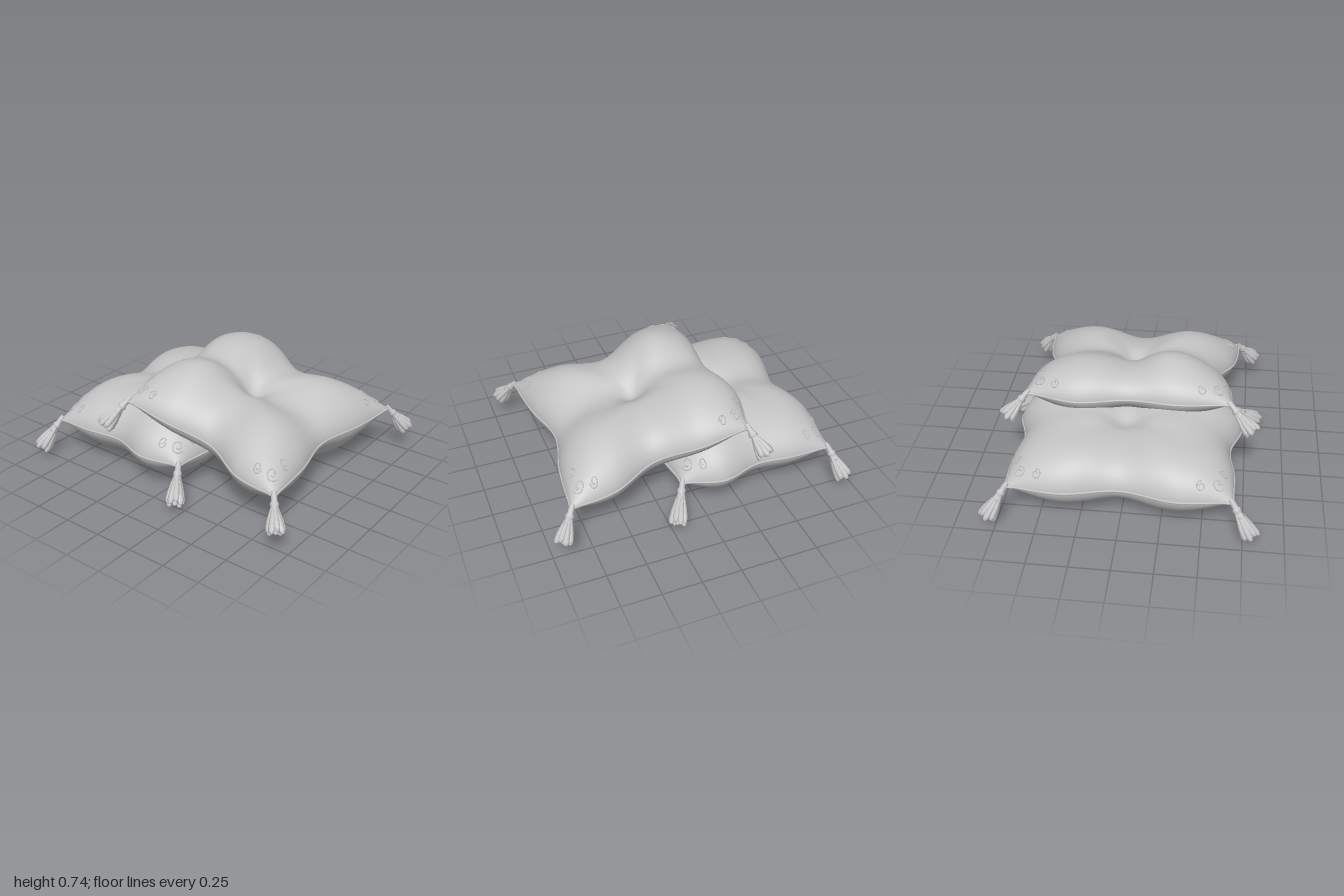
import * as THREE from 'three';

const V = (x, y, z) => new THREE.Vector3(x, y, z);

// Smooth function on [-1, 1] through evenly spaced values
function spline(values) {
  const curve = new THREE.SplineCurve(values.map((y, i) => new THREE.Vector2(i, y)));
  return (t) => curve.getPoint(THREE.MathUtils.clamp((t + 1) / 2, 0, 1)).y;
}

// Each cushion: four seam edges, seam height along x, puffiness [left, right] per face,
// extra lobes [u, v, height, spread], and one tassel tip per side (mirrored front to back)
const CUSHIONS = [
  {
    name: 'lowerCushion',
    west: [-0.87, -0.905, -0.84, -0.905, -0.87], east: [0.13, 0.16, 0.1, 0.16, 0.13],
    back: [-0.69, -0.695, -0.67, -0.735, -0.65], front: [0.68, 0.68, 0.65, 0.72, 0.66],
    seam: [0.245, 0.245, 0.24, 0.235, 0.225],
    top: { puff: [0.23, 0.27], fold: 0, tuft: 0.15, pleat: 0.16, lobes: [] },
    bottom: {
      puff: [0.205, 0.2], fold: 0.02, tuft: 0.15, pleat: 0.05,
      lobes: [[-0.52, -0.58, 0.062, 0.07], [-0.52, 0.58, 0.062, 0.07],
        [0.52, -0.58, 0.062, 0.07], [0.52, 0.58, 0.062, 0.07]],
    },
    tips: [V(-0.945, 0.06, 0.8), V(0.23, 0.07, 0.82)],
  },
  {
    name: 'upperCushion',
    west: [-0.3, -0.37, -0.31, -0.33, -0.29], east: [0.85, 0.82, 0.75, 0.82, 0.85],
    back: [-0.66, -0.65, -0.55, -0.66, -0.69], front: [0.64, 0.62, 0.53, 0.65, 0.68],
    seam: [0.54, 0.47, 0.36, 0.305, 0.295],
    top: {
      puff: [0.215, 0.23], fold: 0.08, tuft: 0.25, pleat: 0.22,
      lobes: [[-0.4, 0.45, 0.068, 0.12], [-0.42, -0.5, 0.035, 0.12],
        [0.6, 0.5, 0.035, 0.1], [0.6, -0.5, 0.035, 0.1]],
    },
    bottom: {
      puff: [0.17, 0.18], fold: 0, tuft: 0.08, pleat: 0.05,
      lobes: [[0.6, 0.46, 0.1, 0.13], [0.6, -0.46, 0.1, 0.13]],
    },
    tips: [V(-0.365, 0.4, 0.78), V(0.94, 0.14, 0.79)],
  },
];

// Returns point(u, v, side): side 1 is the top skin, -1 the underside, 0 the seam sheet
function cushionSurface(c) {
  const [west, east, back, front, seam] = [c.west, c.east, c.back, c.front, c.seam].map(spline);
  const round = (t, power) => Math.pow(Math.max(0, 1 - t ** 4), power);
  const { lerp, smoothstep } = THREE.MathUtils;
  return (u, v, side) => {
    const x = lerp(west(v), east(v), (u + 1) / 2);
    const z = lerp(back(u), front(u), (v + 1) / 2);
    let y = seam(u);
    if (side !== 0) {
      const f = side > 0 ? c.top : c.bottom;
      const r2 = u * u + v * v;
      const valleys = f.fold * Math.exp(-u * u / 0.05) + 0.2 * Math.exp(-v * v / 0.05);
      const tuft = f.tuft * Math.exp(-r2 / 0.03);
      const pleats = f.pleat * Math.cos(7 * Math.atan2(v, u) + 0.6) * r2 * Math.exp(-r2 * 5);
      let height = lerp(f.puff[0], f.puff[1], smoothstep(u, -0.5, 0.5))
        * round(u, 0.6) * round(v, 0.6) * (1 - valleys - tuft + pleats);
      for (const [lu, lv, h, spread] of f.lobes) {
        const d2 = (u - lu) ** 2 + (v - lv) ** 2;
        height += h * Math.exp(-d2 / spread) * round(u, 0.5) * round(v, 0.5);
      }
      y += side * height;
    }
    return V(x, y, z);
  };
}

// Curved sheet with rows packed towards the seam
function skinGeometry(point, side) {
  const geo = new THREE.PlaneGeometry(2, 2, 64, 64);
  const pos = geo.attributes.position;
  const ease = (t) => Math.sin(t * Math.PI / 2);
  for (let i = 0; i < pos.count; i++) {
    const p = point(ease(pos.getX(i)), ease(-pos.getY(i)), side);
    pos.setXYZ(i, p.x, p.y, p.z);
  }
  if (side < 0) geo.index.array.reverse();
  geo.computeVertexNormals();
  return geo;
}

// Piping along the four seam edges
function pipingGeometry(point) {
  const pts = [];
  const n = 20;
  const corners = [[-1, -1], [1, -1], [1, 1], [-1, 1]];
  corners.forEach(([u, v], k) => {
    const [u2, v2] = corners[(k + 1) % 4];
    for (let i = 0; i < n; i++) {
      pts.push(point(u + (u2 - u) * i / n, v + (v2 - v) * i / n, 0));
    }
  });
  return new THREE.TubeGeometry(new THREE.CatmullRomCurve3(pts, true), 240, 0.008, 6, true);
}

// Low embroidery curl that follows the top skin
function curlGeometry(point, u, v, size, turn) {
  const pts = [];
  for (let i = 0; i <= 14; i++) {
    const a = i / 14 * Math.PI * 2.6 * turn, r = size * (1 - 0.7 * i / 14);
    pts.push(point(u + r * Math.cos(a), v + r * Math.sin(a), 1));
  }
  return new THREE.TubeGeometry(new THREE.CatmullRomCurve3(pts), 28, 0.004, 5);
}

const latheProfile = (points) => points.map(([r, y]) => new THREE.Vector2(r, y));

// Tassel hanging along -y from its origin, then aimed at the tip
function makeTassel(start, tip, material) {
  const tassel = new THREE.Group();
  tassel.name = 'tassel';
  const knot = new THREE.Mesh(new THREE.LatheGeometry(latheProfile([[0, -0.12], [0.03, -0.1],
    [0.025, -0.08], [0.02, -0.066], [0.027, -0.054], [0.026, -0.04], [0.018, -0.028],
    [0.018, 0], [0.012, 0.03]]), 14), material);
  knot.name = 'tasselKnot';
  tassel.add(knot);
  const length = start.distanceTo(tip) - 0.06;
  for (let i = 0; i < 9; i++) {
    // Tapered lock with a rounded end; eight around one in the centre
    const geo = new THREE.LatheGeometry(latheProfile([[0, -length], [0.013, -length * 0.97],
      [0.02, -length * 0.84], [0.019, -length * 0.55], [0.013, -length * 0.25], [0.009, 0]]), 8);
    const pos = geo.attributes.position;
    for (let k = 0; k < pos.count; k++) {
      const t = Math.max(0, -pos.getY(k) / length);
      if (i < 8) pos.setX(k, pos.getX(k) + 0.012 + 0.033 * Math.pow(t, 0.9));
    }
    geo.rotateY(i * Math.PI / 4);
    geo.translate(0, -0.07 + (i % 2) * 0.014, 0);
    geo.computeVertexNormals();
    const lock = new THREE.Mesh(geo, material);
    lock.name = 'tasselLock';
    tassel.add(lock);
  }
  tassel.position.copy(start);
  tassel.quaternion.setFromUnitVectors(V(0, -1, 0), tip.clone().sub(start).normalize());
  return tassel;
}

export function createModel() {
  const model = new THREE.Group();
  model.name = 'cushionStack';
  const fabric = new THREE.MeshStandardMaterial({ color: 0xc4c4c4 });
  fabric.name = 'greyFabric';

  for (const c of CUSHIONS) {
    const cushion = new THREE.Group();
    cushion.name = c.name;
    const point = cushionSurface(c);
    const add = (name, geometry) => {
      const mesh = new THREE.Mesh(geometry, fabric);
      mesh.name = name;
      cushion.add(mesh);
    };
    add('topSkin', skinGeometry(point, 1));
    add('underside', skinGeometry(point, -1));
    add('piping', pipingGeometry(point));

    for (const su of [-1, 1]) {
      for (const sv of [-1, 1]) {
        // Corner embroidery
        for (const [a, b, size] of [[0.88, 0.88, 0.06], [0.91, 0.72, 0.045], [0.72, 0.91, 0.045]]) {
          add('embroidery', curlGeometry(point, su * a, sv * b, size, su * sv));
        }
        const tip = c.tips[su < 0 ? 0 : 1].clone();
        tip.z *= sv;
        cushion.add(makeTassel(point(su, sv, 0), tip, fabric));
      }
    }
    model.add(cushion);
  }
  return model;
}
